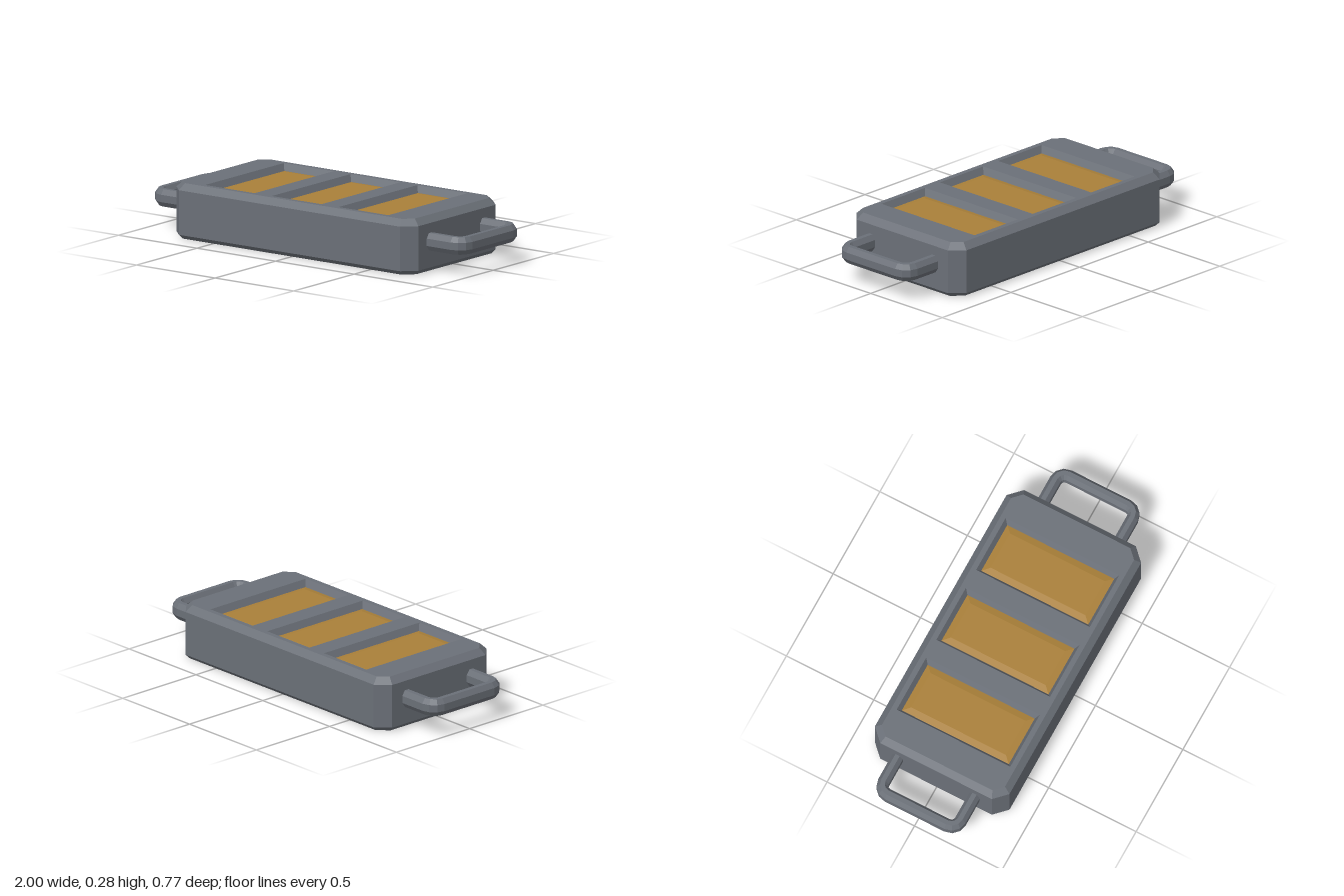
import * as THREE from 'three';

// Flat-shaded skin through closed rings of [x, y, z] points
function loft(rings, capStart = false, capEnd = false) {
  const pos = [];
  const tri = (a, b, c) => pos.push(...a, ...b, ...c);
  for (let r = 0; r < rings.length - 1; r++) {
    const p = rings[r], q = rings[r + 1], n = p.length;
    for (let i = 0; i < n; i++) {
      const j = (i + 1) % n;
      tri(p[i], p[j], q[j]);
      tri(p[i], q[j], q[i]);
    }
  }
  const first = rings[0], last = rings[rings.length - 1];
  for (let i = 1; i < first.length - 1; i++) {
    if (capStart) tri(first[0], first[i + 1], first[i]);
    if (capEnd) tri(last[0], last[i], last[i + 1]);
  }
  const geometry = new THREE.BufferGeometry();
  geometry.setAttribute('position', new THREE.Float32BufferAttribute(pos, 3));
  geometry.computeVertexNormals();
  return geometry;
}

// Rectangle ring at height y, centred on cx
const rectRing = (cx, hx, hz, y) =>
  [[cx - hx, y, hz], [cx + hx, y, hz], [cx + hx, y, -hz], [cx - hx, y, -hz]];

// Octagonal body outline, moved inwards evenly by inset
function bodyRing(inset, y) {
  const x = 0.77 - inset, z = 0.385 - inset;
  const c = 0.066 - inset * (2 - Math.SQRT2);
  return [[-x + c, y, z], [x - c, y, z], [x, y, z - c], [x, y, -z + c],
    [x - c, y, -z], [-x + c, y, -z], [-x, y, -z + c], [-x, y, z - c]];
}

function handleGeometry() {
  // Chamfered section: u points out of the loop, v points up
  const section = [[-0.012, 0.045], [0.012, 0.045], [0.03, 0.019], [0.03, -0.019],
    [0.012, -0.045], [-0.012, -0.045], [-0.03, -0.019], [-0.03, 0.019]];
  const side = [u => [0.75, 0.22 + u]];
  for (let k = 0; k <= 3; k++) {
    const a = k * Math.PI / 6;
    side.push(u => [0.92 + (0.05 + u) * Math.sin(a), 0.17 + (0.05 + u) * Math.cos(a)]);
  }
  const mirrored = side.map(f => u => [f(u)[0], -f(u)[1]]).reverse();
  const rings = [...side, ...mirrored].map(f => section.map(([u, v]) => {
    const [x, z] = f(u);
    return [x, 0.157 + v, z];
  }));
  return loft(rings, true, true);
}

export function createModel() {
  const model = new THREE.Group();
  model.name = 'tray';
  const grey = new THREE.MeshStandardMaterial({ color: 0x6b7078, flatShading: true });
  grey.name = 'slate grey';
  const amber = new THREE.MeshStandardMaterial({ color: 0xaa8039, flatShading: true });
  amber.name = 'amber';
  const add = (name, geometry, material) => {
    const mesh = new THREE.Mesh(geometry, material);
    mesh.name = name;
    model.add(mesh);
    return mesh;
  };

  const top = 0.285, floor = 0.25;
  const centres = [-0.425, 0, 0.425];

  // Chamfered casing, closed underneath
  add('casing', loft([bodyRing(0.021, 0), bodyRing(0, 0.022),
    bodyRing(0, 0.252), bodyRing(0.033, top)], true), grey);

  // Top plate with three openings
  const plate = new THREE.Shape(bodyRing(0.033, 0).map(([x, , z]) => new THREE.Vector2(x, z)));
  for (const cx of centres) {
    plate.holes.push(new THREE.Path(
      rectRing(cx, 0.158, 0.325, 0).map(([x, , z]) => new THREE.Vector2(x, z))));
  }
  add('topPlate', new THREE.ShapeGeometry(plate).rotateX(-Math.PI / 2).translate(0, top, 0), grey);

  // Sloped recesses, each holding a shallow bevelled panel
  for (const cx of centres) {
    add('recessWall', loft([rectRing(cx, 0.158, 0.325, top),
      rectRing(cx, 0.139, 0.306, floor)]), grey);
    add('panel', loft([rectRing(cx, 0.139, 0.306, floor),
      rectRing(cx, 0.104, 0.271, floor + 0.007)], false, true), amber);
  }

  // Carrying handles at both ends
  const handle = handleGeometry();
  add('leftHandle', handle, grey);
  add('rightHandle', handle, grey).rotation.y = Math.PI;

  return model;
}
